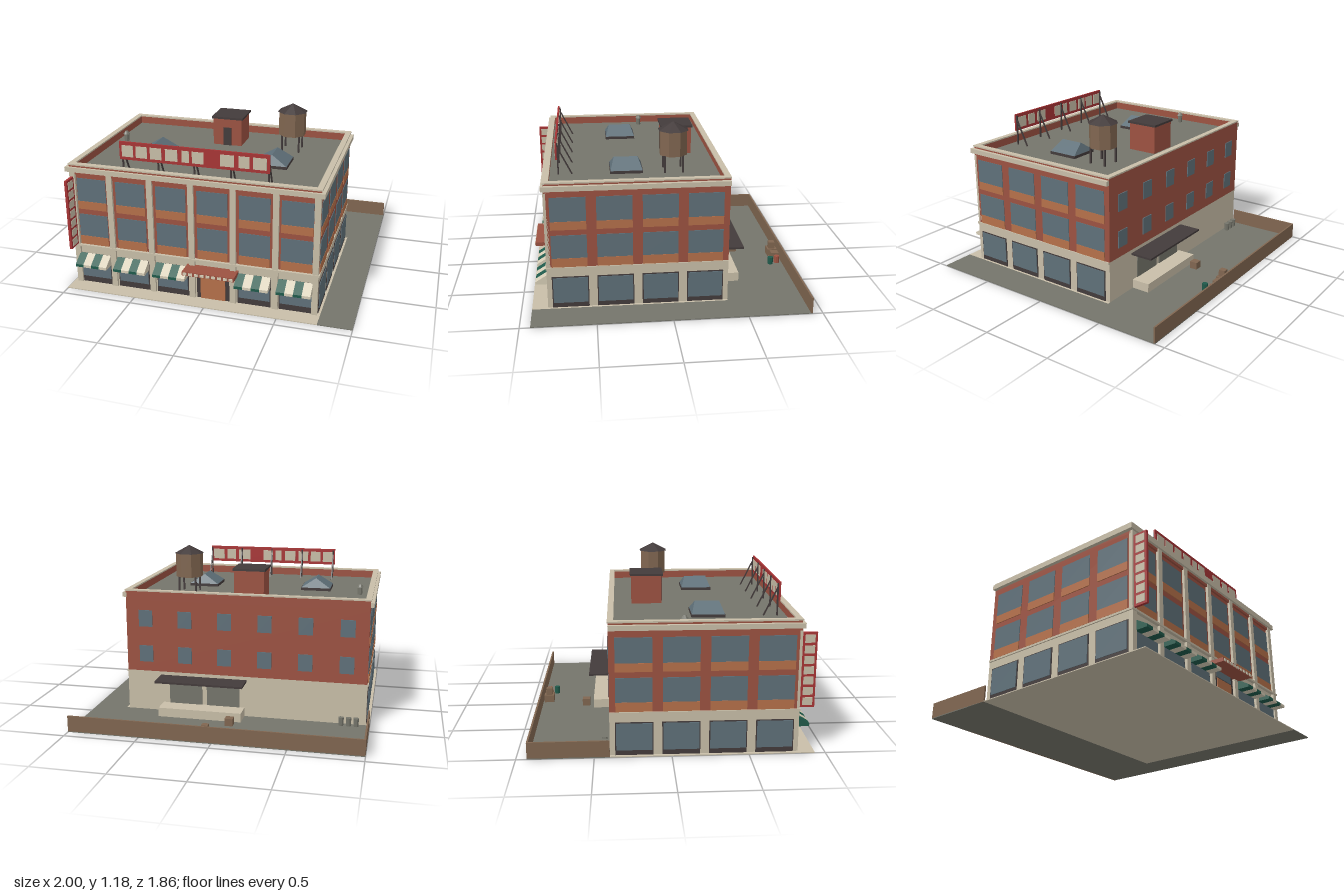
import * as THREE from 'three';

const mat = (name, color) => Object.assign(new THREE.MeshStandardMaterial({ color }), { name });
const M = {
  brick: mat('brick', 0x9c5241), stone: mat('stone', 0xc8beA8), spandrel: mat('terracotta', 0xb5704a),
  glass: mat('glass', 0x5f7079), dark: mat('dark metal', 0x433b3b), green: mat('awning green', 0x1f5a4b),
  wood: mat('wood', 0x806650), asphalt: mat('asphalt', 0x75756b), red: mat('sign red', 0xa83435),
  cream: mat('cream', 0xd6cdb6),
};

export function createModel() {
  const root = new THREE.Group();
  root.name = 'cornerStore';

  const add = (name, geo, m) => {
    const mesh = new THREE.Mesh(geo, m);
    mesh.name = name;
    root.add(mesh);
    return mesh;
  };
  const box = (name, m, x0, x1, y0, y1, z0, z1) => {
    const mesh = add(name, new THREE.BoxGeometry(x1 - x0, y1 - y0, z1 - z0), m);
    mesh.position.set((x0 + x1) / 2, (y0 + y1) / 2, (z0 + z1) / 2);
    return mesh;
  };
  const cyl = (name, m, rTop, rBot, y0, y1, x, z, sides) => {
    const geo = new THREE.CylinderGeometry(rTop, rBot, y1 - y0, sides).rotateY(Math.PI / sides).toNonIndexed();
    geo.computeVertexNormals();
    const mesh = add(name, geo, m);
    mesh.position.set(x, (y0 + y1) / 2, z);
    return mesh;
  };
  // Square bar between two points
  const bar = (name, m, a, b, w) => {
    const va = new THREE.Vector3(...a), vb = new THREE.Vector3(...b);
    const mesh = add(name, new THREE.BoxGeometry(w, w, va.distanceTo(vb)), m);
    mesh.position.copy(va).lerp(vb, 0.5);
    mesh.lookAt(vb);
  };
  // Rectangular ring lying flat, wall thickness t
  const ring = (name, m, x0, x1, y0, y1, z0, z1, t) => {
    const rect = (P, d) => new P([[x0 + d, -z0 - d], [x0 + d, -z1 + d], [x1 - d, -z1 + d], [x1 - d, -z0 - d]]
      .map(p => new THREE.Vector2(...p)));
    const s = rect(THREE.Shape, 0);
    s.holes.push(rect(THREE.Path, t));
    add(name, new THREE.ExtrudeGeometry(s, { depth: y1 - y0, bevelEnabled: false })
      .rotateX(-Math.PI / 2).translate(0, y0, 0), m);
  };

  const L = -0.975, R = 0.75, B = -0.4, F = 0.805, ROOF = 0.83;

  // Ground
  box('pavement', M.stone, -1, 0.77, 0, 0.006, B, 0.93);
  box('backLot', M.asphalt, -1, 1, 0, 0.006, -0.93, B);
  box('sideLot', M.asphalt, 0.77, 1, 0, 0.006, B, 0.93);
  box('backFence', M.wood, -1, 1, 0, 0.115, -0.93, -0.918);
  box('sideFence', M.wood, -1, -0.988, 0, 0.115, -0.918, B);

  // Main walls, roof and parapet
  box('groundFloorWalls', M.stone, L, R, 0.004, 0.3, B, F);
  box('upperWalls', M.brick, L, R, 0.3, 0.82, B, F);
  box('roof', M.asphalt, L + 0.02, R - 0.02, 0.82, ROOF, B + 0.02, F);
  ring('parapet', M.brick, L, R, 0.82, 0.886, B, 0.818, 0.03);
  ring('coping', M.stone, L - 0.006, R + 0.006, 0.885, 0.895, B - 0.004, 0.823, 0.04);
  box('frontCornice', M.stone, -1, 0.775, 0.84, 0.873, 0.81, 0.835);
  box('leftCornice', M.stone, R - 0.005, 0.775, 0.84, 0.873, B, 0.81);
  box('rightCornice', M.stone, -1, L + 0.005, 0.84, 0.873, B, 0.81);
  box('stringCourse', M.stone, L - 0.008, R + 0.008, 0.286, 0.3, B + 0.002, 0.828);

  // Upper window rows: spandrel bottom, glass bottom, glass top
  const rows = [[0.302, 0.365, 0.528], [0.567, 0.625, 0.792]];

  // Front bays
  const pitch = 0.2875;
  const bay = i => L + pitch * (i + 0.5);
  for (let i = 0; i <= 6; i++) {
    const x = i === 0 ? L + 0.02 : i === 6 ? R - 0.02 : L + pitch * i;
    box('frontPier', M.stone, x - 0.02, x + 0.02, 0.006, 0.84, F - 0.01, 0.823);
  }
  for (let i = 0; i < 6; i++) {
    const x = bay(i) + (i === 0 ? 0.005 : i === 5 ? -0.005 : 0);
    for (const [s, g, t] of rows) {
      box('frontSpandrel', M.spandrel, x - 0.105, x + 0.105, s, g, F, F + 0.007);
      box('frontWindow', M.glass, x - 0.105, x + 0.105, g, t, F, F + 0.004);
    }
    box('shopFrame', M.dark, x - 0.114, x + 0.114, 0.006, 0.23, F, F + 0.004);
    if (i === 3) {
      box('entranceDoor', M.spandrel, x - 0.087, x + 0.087, 0.006, 0.165, F, F + 0.009);
      box('transom', M.glass, x - 0.087, x + 0.087, 0.172, 0.222, F, F + 0.008);
      box('entranceCanopy', M.brick, x - 0.18, x + 0.18, 0.222, 0.25, F, 0.922);
      for (let k = 0; k < 9; k++) {
        const cx = x - 0.16 + k * 0.04;
        box('canopyPanel', M.cream, cx - 0.013, cx + 0.013, 0.227, 0.245, 0.92, 0.926);
      }
      continue;
    }
    box('shopWindow', M.glass, x - 0.107, x + 0.107, 0.05, 0.225, F, F + 0.008);
    // Striped awning
    const profile = new THREE.Shape([[-0.815, 0.163], [-0.815, 0.235], [-0.9, 0.182], [-0.9, 0.163]]
      .map(p => new THREE.Vector2(...p)));
    for (let k = 0; k < 4; k++) {
      const stripe = new THREE.ExtrudeGeometry(profile, { depth: 0.0575, bevelEnabled: false });
      stripe.rotateY(Math.PI / 2).translate(x - 0.115 + k * 0.0575, 0, 0);
      add('awningStripe', stripe, k % 2 ? M.cream : M.green);
    }
  }

  // Side bays, mirrored on both ends of the building
  for (const [wall, d] of [[R, 1], [L, -1]]) {
    const plate = (name, m, z, w, y0, y1, t) =>
      box(name, m, Math.min(wall, wall + d * t), Math.max(wall, wall + d * t), y0, y1, z - w / 2, z + w / 2);
    for (let i = 0; i < 4; i++) {
      const z = 0.667 - i * 0.303;
      for (const [s, g, t] of rows) {
        plate('sideSpandrel', M.spandrel, z, 0.236, s, g, 0.006);
        plate('sideWindow', M.glass, z, 0.236, g, t, 0.004);
      }
      plate('sideShopFrame', M.dark, z, 0.246, 0.006, 0.23, 0.004);
      plate('sideShopWindow', M.glass, z, 0.232, 0.04, 0.223, 0.008);
    }
  }

  // Back windows, loading doors, dock and canopy
  for (let i = 0; i < 6; i++)
    for (const y of [0.43, 0.69])
      box('backWindow', M.glass, bay(i) - 0.05, bay(i) + 0.05, y - 0.06, y + 0.06, B - 0.006, B);
  for (const x of [0.04, 0.315])
    box('loadingDoor', M.asphalt, x - 0.12, x + 0.12, 0.07, 0.23, B - 0.006, B);
  box('loadingDock', M.stone, -0.115, 0.485, 0.003, 0.07, -0.53, B);
  box('dockCanopy', M.dark, -0.13, 0.5, 0.262, 0.276, -0.56, B);

  // Yard crates, drums and bins
  box('crate', M.wood, -0.075, -0.018, 0.006, 0.058, -0.615, -0.56);
  box('crate', M.wood, 0.015, 0.09, 0.006, 0.06, -0.91, -0.838);
  box('crate', M.wood, 0.03, 0.075, 0.06, 0.11, -0.895, -0.85);
  box('crate', M.wood, 0.105, 0.16, 0.006, 0.06, -0.908, -0.85);
  cyl('drum', M.brick, 0.02, 0.02, 0.006, 0.06, 0.21, -0.88, 8);
  cyl('drum', M.green, 0.02, 0.02, 0.006, 0.06, 0.225, -0.828, 8);
  for (const x of [-0.91, -0.858, -0.806]) cyl('bin', M.asphalt, 0.02, 0.017, 0.006, 0.065, x, -0.435, 8);

  // Roof stair house
  box('stairHouse', M.brick, -0.22, -0.005, ROOF, 1.03, -0.24, -0.025);
  box('stairHouseRoof', M.dark, -0.23, 0.005, 1.03, 1.045, -0.25, -0.015);
  box('stairHouseDoor', M.dark, -0.143, -0.083, ROOF, 0.965, -0.025, -0.019);

  // Water tank
  const tx = 0.37, tz = -0.063;
  for (const sx of [-1, 1])
    for (const sz of [-1, 1])
      box('tankLeg', M.dark, tx + sx * 0.062 - 0.006, tx + sx * 0.062 + 0.006, ROOF, 0.95,
        tz + sz * 0.062 - 0.006, tz + sz * 0.062 + 0.006);
  cyl('tank', M.wood, 0.099, 0.099, 0.948, 1.12, tx, tz, 8);
  cyl('tankRoof', M.dark, 0, 0.109, 1.12, 1.177, tx, tz, 8);

  // Hipped skylights
  for (const x of [-0.543, 0.318]) {
    box('skylightCurb', M.dark, x - 0.11, x + 0.11, ROOF, 0.85, 0.15, 0.375);
    const geo = new THREE.BoxGeometry(0.216, 0.07, 0.221).toNonIndexed();
    const p = geo.attributes.position;
    for (let i = 0; i < p.count; i++)
      if (p.getY(i) > 0) p.setXYZ(i, 0, p.getY(i), p.getZ(i) * 0.75);
    geo.computeVertexNormals();
    add('skylight', geo, M.glass).position.set(x, 0.885, 0.2625);
  }
  cyl('roofVent', M.asphalt, 0.018, 0.018, ROOF, 0.89, -0.875, 0.085, 8);
  cyl('ventCap', M.asphalt, 0.01, 0.026, 0.885, 0.906, -0.875, 0.085, 8);

  // Rooftop sign with blank panels on both faces
  box('roofSign', M.red, -0.63, 0.4, 0.935, 1.06, 0.733, 0.745);
  for (const [x, w] of [[-0.572, 0.08], [-0.473, 0.08], [-0.372, 0.08], [-0.263, 0.085], [-0.165, 0.05],
    [-0.08, 0.08], [0.118, 0.095], [0.23, 0.072], [0.335, 0.09]])
    box('roofSignPanel', M.stone, x - w / 2, x + w / 2, 0.956, 1.036, 0.73, 0.748);
  for (let i = 0; i < 5; i++) {
    const x = -0.615 + i * 0.2515;
    box('signPost', M.dark, x - 0.005, x + 0.005, ROOF, 1.05, 0.723, 0.733);
    bar('signBrace', M.dark, [x, 1.02, 0.728], [x, ROOF, 0.635], 0.009);
  }

  // Vertical blade sign
  box('bladeSign', M.red, -0.964, -0.946, 0.305, 0.805, 0.82, 0.92);
  for (let i = 0; i < 7; i++) {
    const y = 0.346 + i * 0.0695;
    box('bladeSignPanel', M.stone, -0.967, -0.943, y - 0.026, y + 0.026, 0.84, 0.905);
  }
  return root;
}
